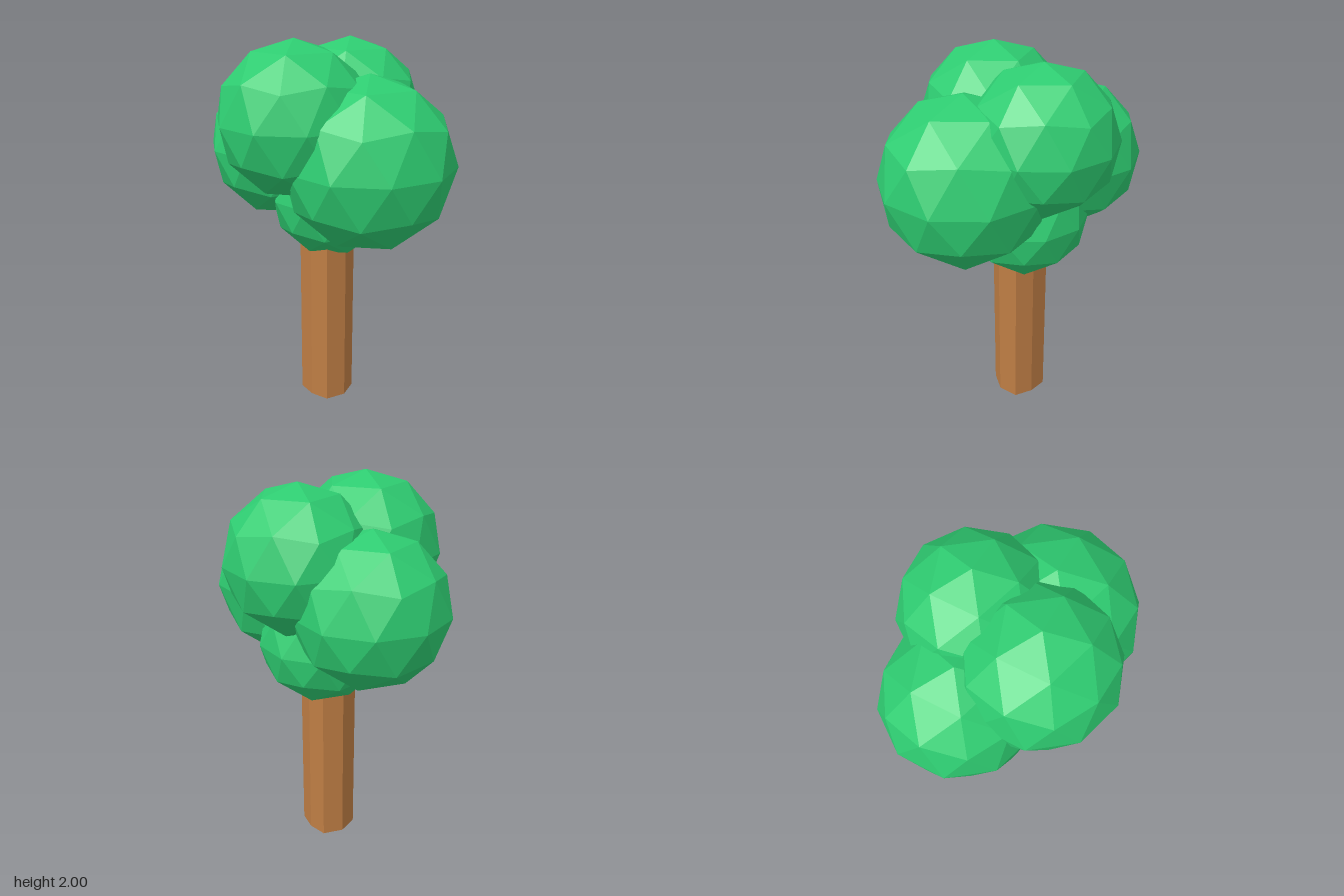
import * as THREE from 'three';

export function createModel() {
  const tree = new THREE.Group();
  tree.name = 'tree';
  const bark = new THREE.MeshStandardMaterial({ color: 0xbe7d44, flatShading: true });
  const leaves = new THREE.MeshStandardMaterial({ color: 0x2ecc71, flatShading: true });

  // Trunk: an eight-sided prism, slightly square in section
  const corners = [[0, 0.137], [0.105, 0.1], [0.125, 0], [0.105, -0.1],
    [0, -0.137], [-0.105, -0.1], [-0.125, 0], [-0.105, 0.1]];
  const section = new THREE.Shape(corners.map(([x, z]) => new THREE.Vector2(x, -z)));
  const trunkGeometry = new THREE.ExtrudeGeometry(section, { depth: 1.05, bevelEnabled: false });
  trunkGeometry.rotateX(-Math.PI / 2);
  const trunk = new THREE.Mesh(trunkGeometry, bark);
  trunk.name = 'trunk';
  trunk.position.set(0.032, 0, -0.018);
  tree.add(trunk);

  // Foliage: faceted balls, each with one vertex pointing straight up
  const ball = new THREE.IcosahedronGeometry(1, 1);
  ball.rotateZ(-Math.atan(2 / (1 + Math.sqrt(5))));
  const clumps = [
    ['frontFoliage', 0.005, 1.41, 0.285, 0.435],
    ['backFoliage', 0.005, 1.41, -0.33, 0.39],
    ['rightFoliage', -0.196, 1.612, -0.02, 0.388],
    ['leftFoliage', 0.206, 1.613, -0.023, 0.372],
    ['lowerFoliage', 0.07, 1.175, -0.02, 0.33],
  ];
  for (const [name, x, y, z, radius] of clumps) {
    const clump = new THREE.Mesh(ball, leaves);
    clump.name = name;
    clump.position.set(x, y, z);
    clump.scale.setScalar(radius);
    tree.add(clump);
  }
  return tree;
}
